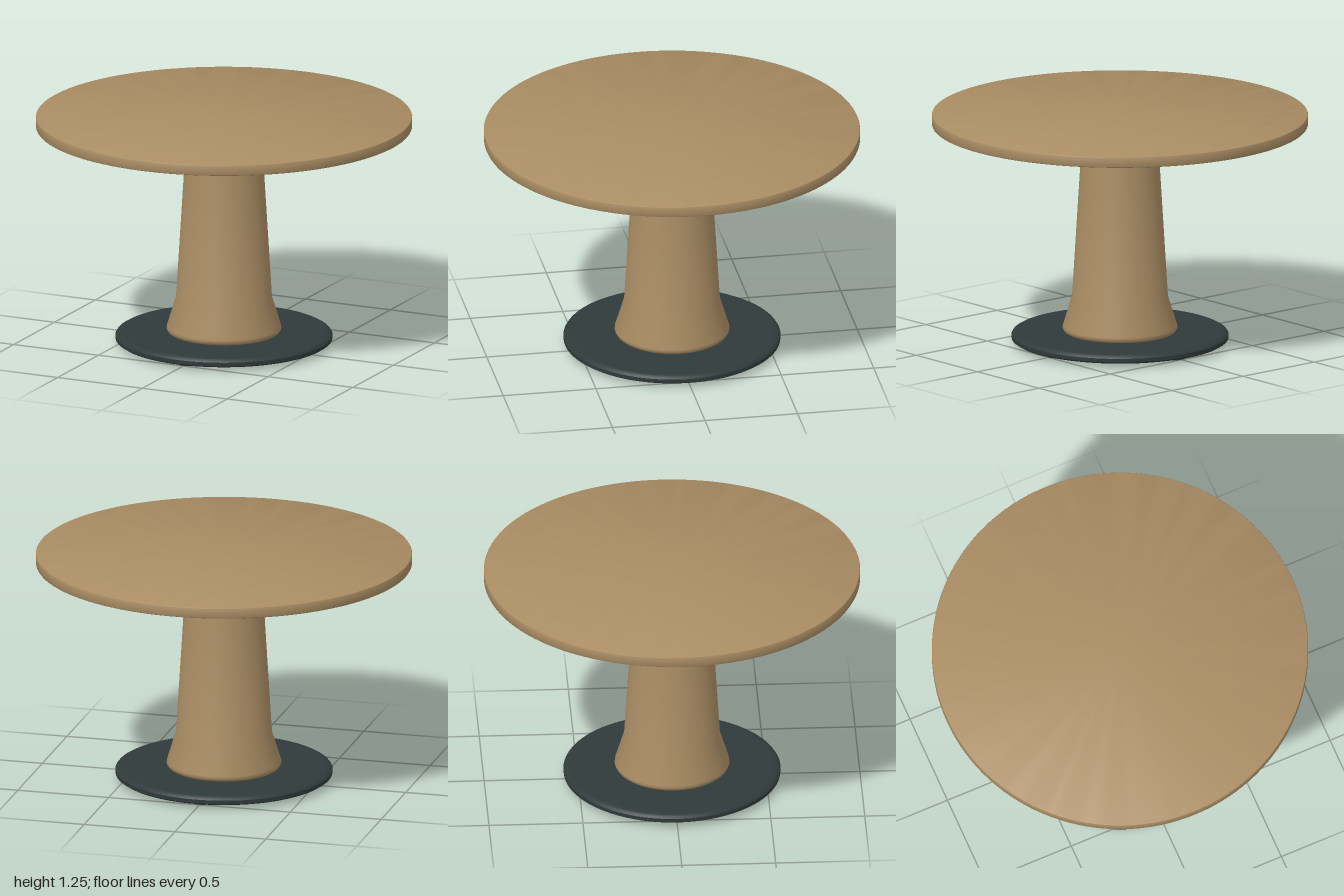
import * as THREE from 'three';
import { toCreasedNormals } from 'three/addons/utils/BufferGeometryUtils.js';

export function createModel() {
  const wood = new THREE.MeshStandardMaterial({ color: 0xa98c63 });
  wood.name = 'wood';
  const darkMetal = new THREE.MeshStandardMaterial({ color: 0x303a3a });
  darkMetal.name = 'darkMetal';

  const table = new THREE.Group();
  table.name = 'roundTable';

  // Turned part from [radius, height] pairs, listed bottom to top
  function turned(name, profile, material, segments = 96) {
    const points = profile.map(([r, y]) => new THREE.Vector2(r, y));
    const geometry = toCreasedNormals(new THREE.LatheGeometry(points, segments), 0.6);
    const mesh = new THREE.Mesh(geometry, material);
    mesh.name = name;
    table.add(mesh);
    return mesh;
  }

  // Table top with slightly eased edges
  turned('tableTop', [
    [0, 1.195], [0.994, 1.195], [0.998, 1.197], [1, 1.201],
    [1, 1.249], [0.998, 1.253], [0.994, 1.255], [0, 1.255],
  ], wood, 128);

  // Mounting plate under the top
  turned('mountingPlate', [[0, 1.187], [0.343, 1.187], [0.343, 1.196], [0, 1.196]], darkMetal);

  // Tapered column, flared at both ends
  turned('column', [
    [0, 0.068], [0.288, 0.068], [0.298, 0.075], [0.305, 0.088], [0.304, 0.1],
    [0.255, 0.26], [0.202, 1.125], [0.27, 1.188], [0, 1.188],
  ], wood);

  // Round base with a rounded rim
  turned('base', [
    [0, 0.012], [0.5, 0.012], [0.535, 0.016], [0.562, 0.023], [0.576, 0.032],
    [0.577, 0.052], [0.571, 0.061], [0.557, 0.069], [0.54, 0.07], [0, 0.07],
  ], darkMetal);

  // Four glides, one on each axis
  for (let i = 0; i < 4; i++) {
    const angle = i * Math.PI / 2;
    const foot = new THREE.Mesh(new THREE.CylinderGeometry(0.053, 0.053, 0.014, 32), darkMetal);
    foot.name = 'foot' + (i + 1);
    foot.position.set(0.447 * Math.cos(angle), 0.007, 0.447 * Math.sin(angle));
    table.add(foot);
  }

  return table;
}
